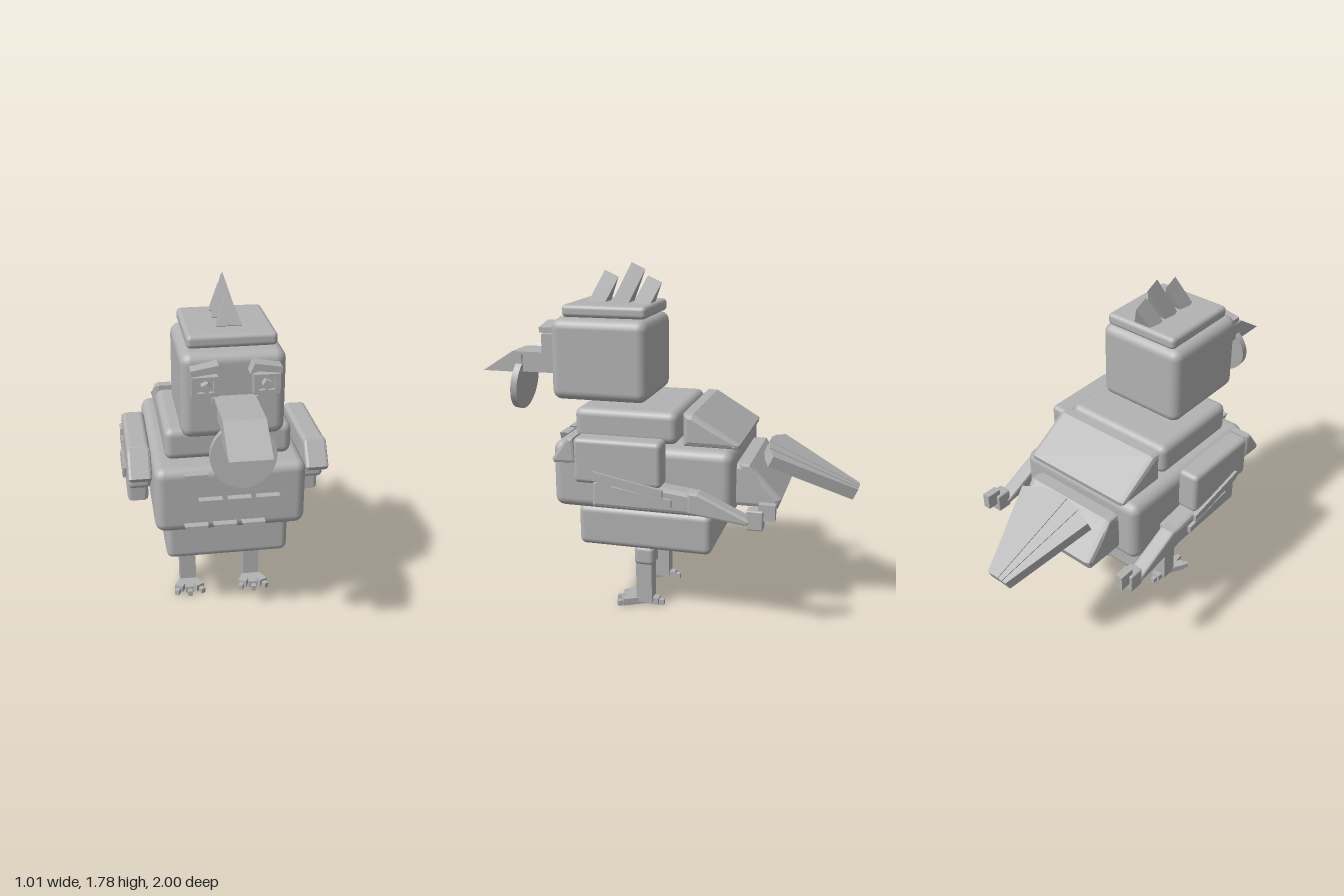
import * as THREE from 'three';
import { RoundedBoxGeometry } from 'three/addons/geometries/RoundedBoxGeometry.js';

const grey = new THREE.MeshStandardMaterial({ color: 0xb2b2b2 });
grey.name = 'grey';

export function createModel() {
  const model = new THREE.Group();
  model.name = 'blockBird';

  const add = (name, geometry, parent = model) => {
    const mesh = new THREE.Mesh(geometry, grey);
    mesh.name = name;
    parent.add(mesh);
    return mesh;
  };
  // Box from its limits, rounded when r > 0
  const box = (name, [x0, x1], [y0, y1], [z0, z1], r = 0, parent = model) => {
    const size = [x1 - x0, y1 - y0, z1 - z0];
    const geo = r ? new RoundedBoxGeometry(...size, 3, r) : new THREE.BoxGeometry(...size);
    const mesh = add(name, geo, parent);
    mesh.position.set((x0 + x1) / 2, (y0 + y1) / 2, (z0 + z1) / 2);
    return mesh;
  };
  const extrude = (points, depth, bevel = 0) => {
    const shape = new THREE.Shape(points.map(([x, y]) => new THREE.Vector2(x, y)));
    return new THREE.ExtrudeGeometry(shape, {
      depth: depth - 2 * bevel, bevelEnabled: bevel > 0, bevelThickness: bevel,
      bevelSize: bevel, bevelOffset: -bevel, bevelSegments: 2,
    }).translate(0, 0, bevel);
  };
  // Side profile of [z, y] points, given a width and centred on x
  const profile = (name, points, x, width, bevel = 0, parent = model) => {
    const geo = extrude(points, width, bevel).translate(0, 0, -width / 2).rotateY(-Math.PI / 2);
    const mesh = add(name, geo, parent);
    mesh.position.x = x;
    return mesh;
  };
  // Front outline of [x, y] points, running from z0 to z1
  const plate = (name, points, z0, z1, parent = model) =>
    add(name, extrude(points, z1 - z0).translate(0, 0, z0), parent);

  // Body
  box('belly', [-0.31, 0.31], [0.355, 0.57], [-0.3, 0.4], 0.035);
  box('chest', [-0.37, 0.37], [0.575, 0.92], [-0.415, 0.51], 0.05);
  box('collar', [-0.31, 0.31], [0.92, 1.085], [-0.125, 0.41], 0.04);
  profile('backSlab', [[-0.15, 0.92], [-0.15, 1.085], [-0.2, 1.085], [-0.435, 0.945], [-0.43, 0.92]], 0, 0.62, 0.025);
  profile('rump', [[-0.38, 0.62], [-0.4, 0.84], [-0.48, 0.84], [-0.64, 0.67], [-0.62, 0.62]], 0, 0.53, 0.025);

  // Chest feathers, in three staggered rows
  [[0.908, -0.175], [0.768, -0.105], [0.63, -0.175]].forEach(([y, x0]) => {
    for (let i = 0; i < 3; i++) {
      const x = x0 + i * 0.14;
      plate('chestFeather', [[x - 0.058, y], [x - 0.02, y - 0.094], [x + 0.02, y - 0.094], [x + 0.058, y]], 0.5, 0.547);
    }
  });

  // Head, cap and crest
  box('head', [-0.242, 0.242], [1.1, 1.515], [0.052, 0.56], 0.05);
  box('cap', [-0.208, 0.208], [1.52, 1.583], [0.062, 0.505], 0.022);
  [[0.37, 0.165], [0.245, 0.21], [0.13, 0.14]].forEach(([z, h]) => {
    const spike = add('crestSpike', extrude([[-0.06, 0], [0.06, 0], [0, h]], 0.08).translate(0, 0, -0.04));
    spike.rotation.x = -0.43;
    spike.position.set(0, 1.575, z);
  });

  // Beak and the disc held under it
  box('beakBase', [-0.08, 0.08], [1.205, 1.305], [0.54, 0.84]);
  profile('beakTip', [[0.56, 1.3], [0.56, 1.315], [0.83, 1.315], [1, 1.205], [0.78, 1.205], [0.78, 1.3]], 0, 0.19);
  const disc = add('heldDisc', new THREE.CylinderGeometry(0.148, 0.148, 0.035, 40).rotateX(Math.PI / 2));
  disc.position.set(0, 1.137, 0.808);
  disc.rotation.x = -0.12;

  for (const s of [1, -1]) {
    const side = s > 0 ? 'left' : 'right';
    const part = (name) => {
      const group = new THREE.Group();
      group.name = side + name;
      model.add(group);
      return group;
    };
    const span = (a, b) => (s > 0 ? [a, b] : [-b, -a]);
    const flip = (points) => points.map(([x, y]) => [s * x, y]);

    // Eye: four-bar frame, recessed ball, diamond pupil and slanted brow
    const eye = part('Eye');
    box('eyeFrameTop', span(0.08, 0.2), [1.413, 1.43], [0.55, 0.618], 0, eye);
    box('eyeFrameBottom', span(0.08, 0.2), [1.335, 1.355], [0.55, 0.618], 0, eye);
    box('eyeFrameInner', span(0.08, 0.102), [1.355, 1.413], [0.55, 0.618], 0, eye);
    box('eyeFrameOuter', span(0.175, 0.2), [1.355, 1.413], [0.55, 0.618], 0, eye);
    box('eyeBall', span(0.102, 0.175), [1.355, 1.413], [0.55, 0.6], 0, eye);
    plate('pupil', flip([[0.115, 1.385], [0.13, 1.41], [0.16, 1.395], [0.155, 1.37], [0.13, 1.362]]), 0.59, 0.637, eye);
    plate('brow', flip([[0.06, 1.44], [0.08, 1.487], [0.205, 1.465], [0.205, 1.437], [0.1, 1.45]]), 0.55, 0.627, eye);
    box('nostril', span(0.08, 0.106), [1.285, 1.315], [0.55, 0.585], 0, eye);

    // Wing, from shoulder to finger feathers
    const wing = part('Wing');
    profile('shoulder', [[0.465, 0.865], [0.385, 0.978], [0.35, 0.978], [0.34, 0.85], [0.455, 0.845]], s * 0.433, 0.115, 0.015, wing);
    box('upperWing', span(0.375, 0.49), [0.75, 0.978], [-0.09, 0.355], 0.025, wing);
    profile('foreWing', [[0.26, 0.635], [0.26, 0.76], [0.22, 0.795], [-0.25, 0.74], [-0.25, 0.635]], s * 0.437, 0.105, 0.018, wing);
    profile('wingFeatherUpper', [[0.255, 0.82], [0.25, 0.775], [-0.1, 0.71], [-0.1, 0.752]], s * 0.485, 0.04, 0, wing);
    profile('wingFeatherLower', [[0.155, 0.75], [0.155, 0.715], [-0.145, 0.67], [-0.145, 0.708]], s * 0.487, 0.04, 0, wing);
    profile('wingTip', [[-0.22, 0.64], [-0.22, 0.748], [-0.27, 0.748], [-0.53, 0.63], [-0.51, 0.605]], s * 0.453, 0.08, 0.012, wing);
    // Upright feather behind the forewing
    profile('rearFeather', [[-0.43, 0.68], [-0.43, 0.84], [-0.48, 0.84], [-0.57, 0.71], [-0.55, 0.66]], s * 0.24, 0.05, 0.01, wing);
    box('wingFinger', span(0.42, 0.49), [0.587, 0.685], [-0.585, -0.505], 0.008, wing);
    box('wingFingerEnd', span(0.435, 0.475), [0.635, 0.715], [-0.64, -0.56], 0, wing);

    // Leg and foot
    const leg = part('Leg');
    box('knee', span(0.122, 0.228), [0.232, 0.337], [0.02, 0.13], 0.025, leg);
    box('thigh', span(0.14, 0.21), [0.32, 0.37], [0.04, 0.11], 0, leg);
    box('shin', span(0.132, 0.217), [0.02, 0.25], [0.035, 0.12], 0, leg);
    [-0.5, 0, 0.5, Math.PI].forEach((turn) => {
      const toe = new THREE.Group();
      toe.name = 'toe';
      toe.position.set(s * 0.175, 0, 0.08);
      toe.rotation.y = turn;
      leg.add(toe);
      const reach = turn > 3 ? 0.075 : 0.125;
      box('toeBone', [-0.023, 0.023], [0.004, 0.04], [0, reach], 0, toe);
      box('claw', [-0.012, 0.012], [0, 0.028], [reach, reach + 0.028], 0, toe);
    });
  }

  // Tail: five feathers that spread towards the body
  const tail = new THREE.Group();
  tail.name = 'tail';
  tail.position.set(0, 0.7, -1);
  tail.rotation.x = -0.43;
  model.add(tail);
  for (let i = -2; i <= 2; i++) {
    const end = (e) => 0.505 - 0.009 * e * e;
    const a = i - 0.5, b = i + 0.5;
    const feather = add('tailFeather', extrude([
      [a * 0.024, 0], [b * 0.024, 0], [b * 0.088, end(b)], [a * 0.088, end(a)],
    ], 0.06).rotateX(Math.PI / 2), tail);
    feather.position.y = -0.005 * Math.abs(i);
  }
  return model;
}
